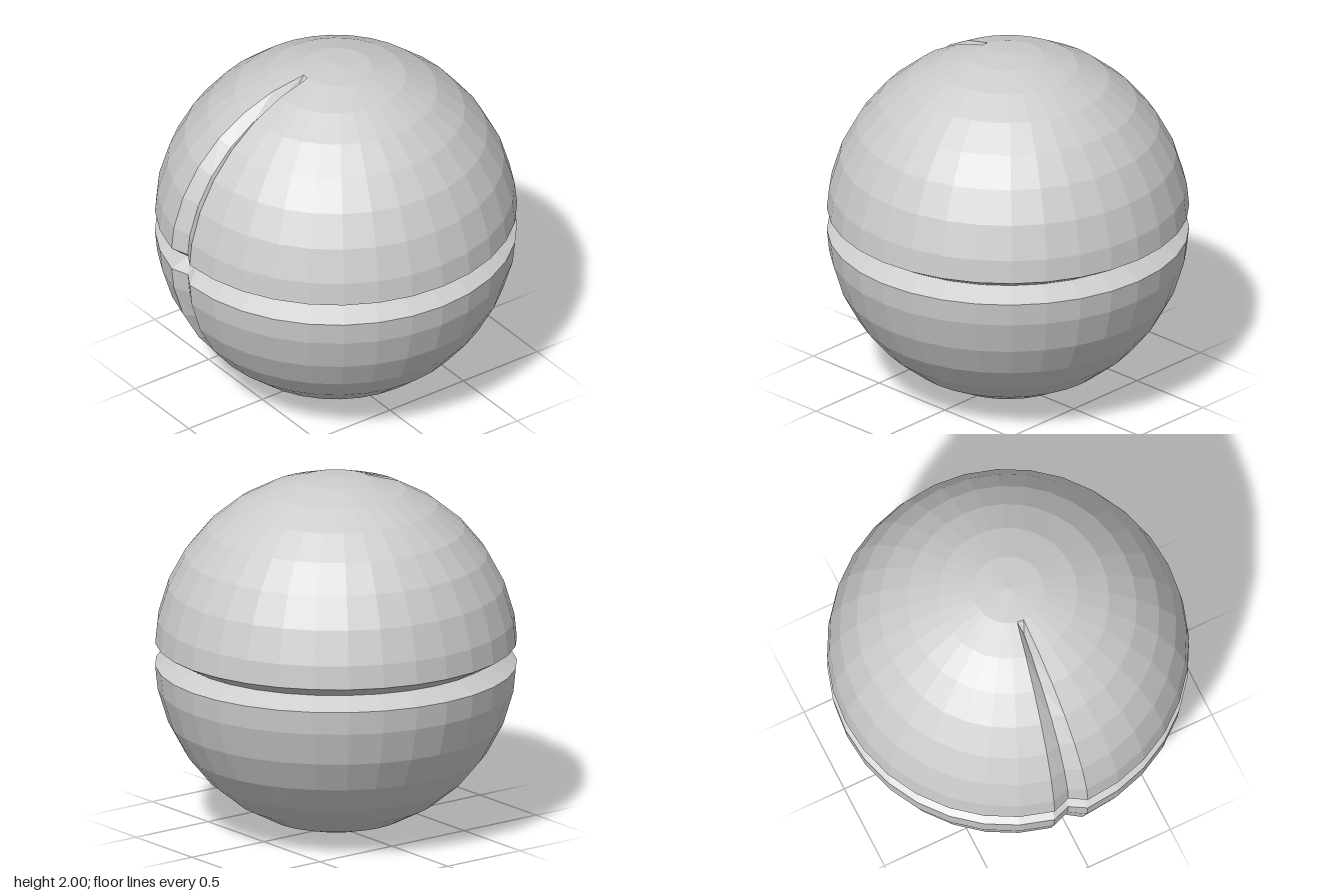
import * as THREE from 'three';

const SEGMENTS = 32;
const STEP = (Math.PI * 2) / SEGMENTS;

// Half profile from pole to equator as [radius, height], with a V groove at the middle.
function ringProfile() {
  const upper = [];
  for (let i = 1; i <= 7; i++) upper.push([Math.sin(i * STEP), Math.cos(i * STEP)]);
  upper.push([0.994, 0.065]);
  const lower = upper.map(([r, y]) => [r, -y]).reverse();
  return [...upper, [0.88, 0], ...lower];
}

export function createModel() {
  const group = new THREE.Group();
  const grey = new THREE.MeshStandardMaterial({ color: 0xcccccc, flatShading: true });
  grey.name = 'light grey';

  const rings = ringProfile();
  const last = rings.length - 1;
  const at = (angle, r, y) => [-r * Math.cos(angle), y + 1, -r * Math.sin(angle)];

  // Regular meridian, on the sphere
  const meridian = (k) => rings.map(([r, y]) => at(k * STEP, r, y));

  // Sunken floor of the groove that runs from pole to pole
  const grooveFloor = rings.map(([r, y], i) => {
    if (i === 0 || i === last) return at(STEP / 2, 0.25, Math.sign(y) * 0.916);
    if (y === 0) return at(STEP / 2, 0.876, 0);
    return at(STEP / 2, r * 0.95, Math.abs(y) < 0.1 ? y : y * 0.95);
  });

  const mesh = (name, triangles) => {
    const geometry = new THREE.BufferGeometry();
    geometry.setAttribute('position', new THREE.Float32BufferAttribute(triangles.flat(2), 3));
    geometry.computeVertexNormals();
    const part = new THREE.Mesh(geometry, grey);
    part.name = name;
    group.add(part);
  };

  // Faces between two neighbouring meridians
  const strip = (a, b) => {
    const out = [];
    for (let i = 0; i < last; i++) {
      out.push([a[i], b[i], a[i + 1]], [b[i], b[i + 1], a[i + 1]]);
    }
    return out;
  };

  const shell = [];
  const poles = [];
  for (let k = 0; k < SEGMENTS; k++) {
    const a = meridian(k);
    const b = meridian(k + 1);
    if (k > 0) shell.push(...strip(a, b));
    poles.push([[0, 2, 0], b[0], a[0]], [a[last], b[last], [0, 0, 0]]);
  }
  mesh('grooved sphere shell', shell);
  mesh('pole caps', poles);

  // Meridian groove with its closed ends
  const a = meridian(0);
  const b = meridian(1);
  mesh('meridian groove', [
    ...strip(a, grooveFloor),
    ...strip(grooveFloor, b),
    [a[0], b[0], grooveFloor[0]],
    [b[last], a[last], grooveFloor[last]],
  ]);

  return group;
}
